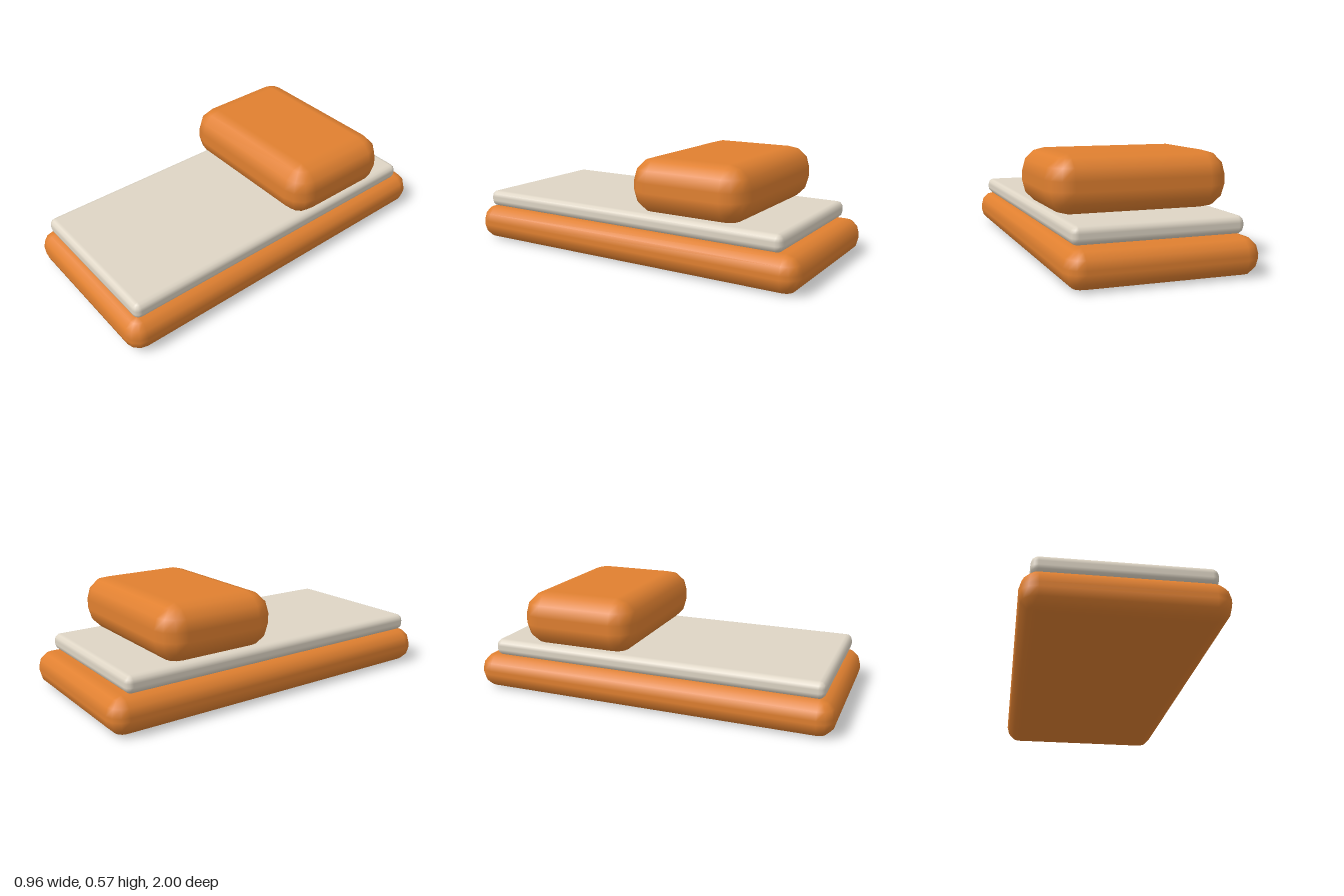
import * as THREE from 'three';

// Box with rounded edges: rounded-rectangle rings stacked from bottom to top,
// each edge turned in three equal 30 degree steps.
function cushionGeometry(w, h, d, r) {
  const steps = 3, perCorner = steps + 1, count = perCorner * 4;
  const pos = [], nor = [], index = [];
  const signs = [[1, 1], [-1, 1], [-1, -1], [1, -1]];
  for (let level = 0; level < perCorner * 2; level++) {
    const upper = level >= perCorner;
    const phi = ((upper ? level - perCorner : level - steps) / steps) * Math.PI / 2;
    const cy = (upper ? 1 : -1) * (h / 2 - r);
    signs.forEach(([sx, sz], corner) => {
      for (let k = 0; k <= steps; k++) {
        const a = (corner + k / steps) * Math.PI / 2;
        const n = [Math.cos(phi) * Math.cos(a), Math.sin(phi), Math.cos(phi) * Math.sin(a)];
        nor.push(...n);
        pos.push(sx * (w / 2 - r) + r * n[0], cy + r * n[1], sz * (d / 2 - r) + r * n[2]);
      }
    });
  }
  // Sides
  const last = perCorner * 2 - 1;
  for (let j = 0; j < last; j++) {
    for (let i = 0; i < count; i++) {
      const a = j * count + i, b = j * count + (i + 1) % count;
      index.push(a, a + count, b, b, a + count, b + count);
    }
  }
  // Flat bottom and top
  const t = last * count, q = perCorner;
  index.push(0, q, 2 * q, 0, 2 * q, 3 * q);
  index.push(t, t + 2 * q, t + q, t, t + 3 * q, t + 2 * q);

  const g = new THREE.BufferGeometry();
  g.setAttribute('position', new THREE.Float32BufferAttribute(pos, 3));
  g.setAttribute('normal', new THREE.Float32BufferAttribute(nor, 3));
  g.setIndex(index);
  return g;
}

export function createModel() {
  const group = new THREE.Group();
  group.name = 'bed';
  const orange = new THREE.MeshStandardMaterial({ color: 0xe08030 });
  orange.name = 'orange';
  const cream = new THREE.MeshStandardMaterial({ color: 0xded5c5 });
  cream.name = 'cream';

  // Place a part by its width, vertical span, z span and edge radius
  const add = (name, material, w, [y0, y1], [z0, z1], r) => {
    const mesh = new THREE.Mesh(cushionGeometry(w, y1 - y0, z1 - z0, r), material);
    mesh.name = name;
    mesh.position.set(0, (y0 + y1) / 2, (z0 + z1) / 2);
    group.add(mesh);
  };

  add('base', orange, 0.96, [0, 0.19], [-1, 1], 0.085);
  add('mattress', cream, 0.864, [0.19, 0.28], [-0.903, 0.943], 0.035);
  add('pillow', orange, 0.94, [0.28, 0.57], [-0.712, -0.058], 0.12);
  return group;
}
